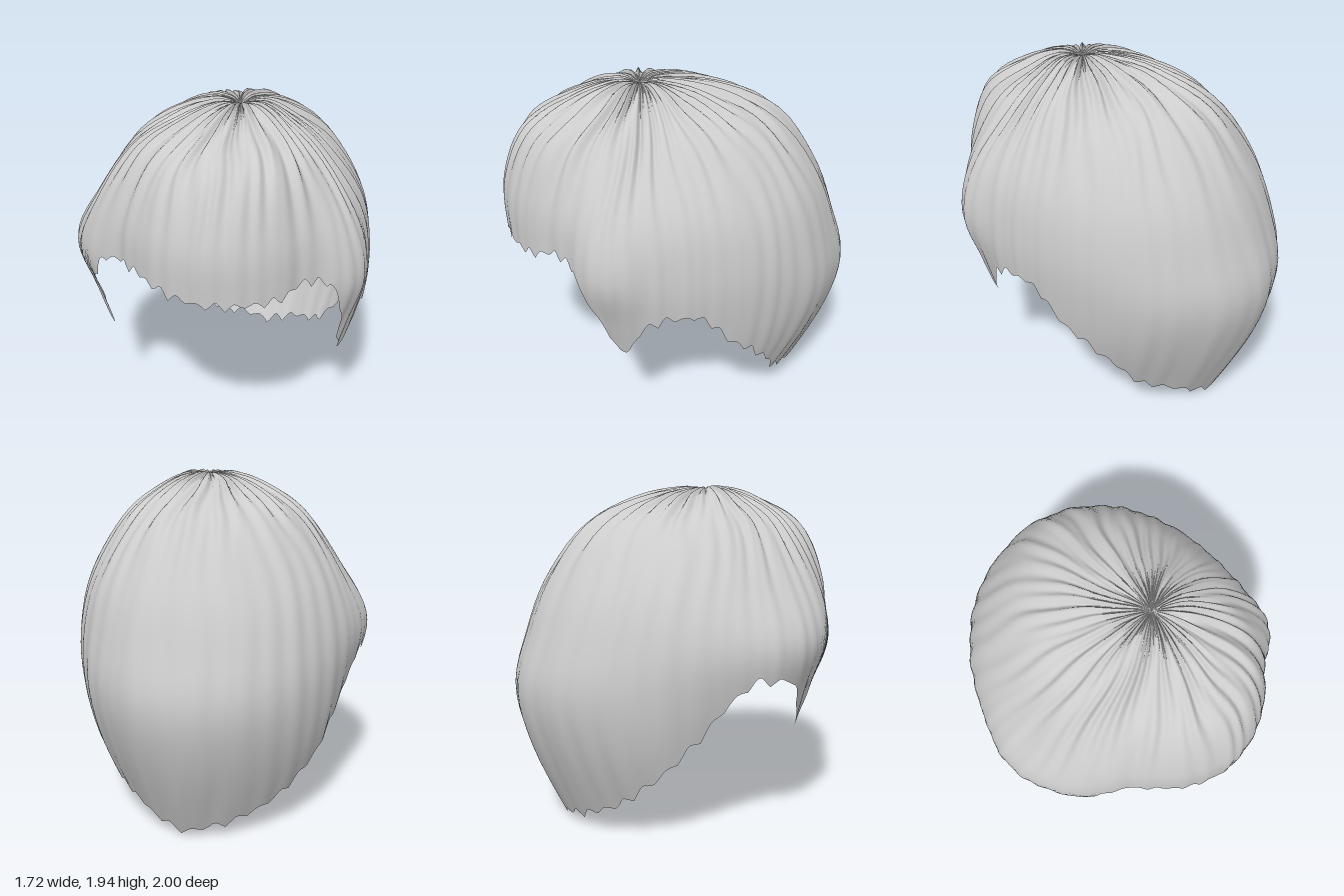
import * as THREE from 'three';

// Whorl of the hair, from which every strand runs down to the hem
const CROWN = { x: 0.12, y: 1.91, z: 0.23 };
const COLUMNS = 336, ROWS = 34, TEETH = 48;

// Distance from the crown axis at each height, one row per 22.5 degrees (front, left, back, right)
const LEVELS = [1.86, 1.7, 1.4, 1.1, 0.8, 0.45, 0];
const RADII = [
  [0.34, 0.62, 0.76, 0.77, 0.75, 0.68, 0.5],
  [0.33, 0.59, 0.71, 0.73, 0.71, 0.65, 0.5],
  [0.28, 0.51, 0.65, 0.68, 0.67, 0.61, 0.5],
  [0.26, 0.46, 0.68, 0.77, 0.69, 0.59, 0.5],
  [0.25, 0.44, 0.66, 0.73, 0.71, 0.63, 0.5],
  [0.27, 0.49, 0.70, 0.77, 0.76, 0.69, 0.5],
  [0.32, 0.58, 0.80, 0.89, 0.89, 0.81, 0.6],
  [0.39, 0.69, 0.93, 1.04, 1.08, 0.98, 0.76],
  [0.45, 0.78, 1.01, 1.14, 1.22, 1.14, 0.93],
  [0.43, 0.76, 0.99, 1.12, 1.18, 1.10, 0.9],
  [0.39, 0.69, 0.93, 1.04, 1.06, 0.99, 0.8],
  [0.35, 0.62, 0.85, 0.98, 0.95, 0.84, 0.7],
  [0.33, 0.58, 0.80, 0.97, 0.91, 0.78, 0.6],
  [0.32, 0.57, 0.78, 0.88, 0.78, 0.69, 0.6],
  [0.32, 0.57, 0.72, 0.75, 0.73, 0.67, 0.5],
  [0.33, 0.60, 0.74, 0.76, 0.74, 0.67, 0.5],
];

// Hem height by angle: fringe, left sideburn, ear arch, nape, right ear arch, right sideburn
const HEM = [
  [0, 1.1], [28, 1.1], [42, 1.16], [54, 1.12], [62, 0.9], [72, 0.59], [77, 0.62], [84, 0.8],
  [92, 0.86], [106, 0.86], [114, 0.78], [120, 0.66], [130, 0.55], [141, 0.4], [152, 0.21],
  [165, 0.14], [180, 0.024], [198, 0.1], [212, 0.2], [226, 0.38], [238, 0.58], [249, 0.8],
  [257, 0.92], [270, 0.91], [276, 0.82], [282, 0.64], [286, 0.59], [292, 0.8], [298, 1.0],
  [306, 1.15], [315, 1.18], [330, 1.17], [345, 1.12], [360, 1.1],
];

function hemHeight(deg) {
  const k = Math.max(1, HEM.findIndex(([a]) => a >= deg));
  const [a0, y0] = HEM[k - 1], [a1, y1] = HEM[k];
  return THREE.MathUtils.mapLinear(deg, a0, a1, y0, y1);
}

// Smooth closed interpolation of the radii around the head
function radiusAt(level, turn) {
  const n = RADII.length, f = turn * n, i = Math.floor(f), t = f - i;
  const [a, b, c, d] = [-1, 0, 1, 2].map(k => RADII[(i + k + n) % n][level]);
  return b + 0.5 * t * (c - a + t * (2 * a - 5 * b + 4 * c - d + t * (3 * (b - c) + d - a)));
}

// Uneven radial furrows between strands, wavering along their length
function furrow(angle, s) {
  const a = angle + 0.03 * Math.sin(3 * angle + 6 * s) + 0.012 * Math.sin(7 * angle + 17 * s);
  return 0.5 * Math.sin(36 * a + 2 * Math.sin(5 * a))
    + 0.3 * Math.sin(23 * a + 1.5 + 2 * s)
    + 0.25 * Math.sin(53 * a + 3 * Math.sin(4 * a) + 9 * s);
}

function hairGeometry() {
  const positions = [], indices = [];
  for (let i = 0; i < COLUMNS; i++) {
    const turn = i / COLUMNS, angle = turn * Math.PI * 2;
    const strand = new THREE.SplineCurve([
      new THREE.Vector2(0, CROWN.y), new THREE.Vector2(0.13, 1.92),
      ...LEVELS.map((y, k) => new THREE.Vector2(radiusAt(k, turn), y)),
    ]);

    // Ragged tips along the hem
    const phase = (turn * TEETH) % 1;
    const tooth = (1 - Math.abs(phase - 0.5) * 4) * (0.022 + 0.01 * Math.sin(17 * angle));
    const hem = Math.max(0, hemHeight(turn * 360) + tooth);

    // Cut the strand where it meets the hem
    let low = 0.2, high = 1;
    for (let k = 0; k < 24; k++) {
      const mid = (low + high) / 2;
      if (strand.getPoint(mid).y > hem) low = mid; else high = mid;
    }

    for (let j = 0; j <= ROWS; j++) {
      const t = low * j / ROWS, p = strand.getPoint(t), tangent = strand.getTangent(t);
      const depth = 0.019 * Math.min(1, p.x / 0.12)
        * (1 - 0.7 * THREE.MathUtils.smoothstep(1.9 - p.y, 0.08, 0.6));
      const push = depth * (furrow(angle, p.x) - 0.1);
      const r = p.x - tangent.y * push, y = p.y + tangent.x * push;
      positions.push(CROWN.x + r * Math.sin(angle), j === ROWS ? hem : y, CROWN.z + r * Math.cos(angle));
      if (j < ROWS) {
        const a = i * (ROWS + 1) + j, b = ((i + 1) % COLUMNS) * (ROWS + 1) + j;
        if (j > 0) indices.push(a, a + 1, b);
        indices.push(b, a + 1, b + 1);
      }
    }
  }
  const geometry = new THREE.BufferGeometry();
  geometry.setAttribute('position', new THREE.Float32BufferAttribute(positions, 3));
  geometry.setIndex(indices);
  geometry.computeVertexNormals();
  return geometry;
}

export function createModel() {
  const hairGrey = new THREE.MeshStandardMaterial({ color: 0xcccccc, side: THREE.DoubleSide });
  hairGrey.name = 'hairGrey';
  const hair = new THREE.Mesh(hairGeometry(), hairGrey);
  hair.name = 'hair';
  const group = new THREE.Group();
  group.name = 'hairstyle';
  group.add(hair);
  return group;
}
